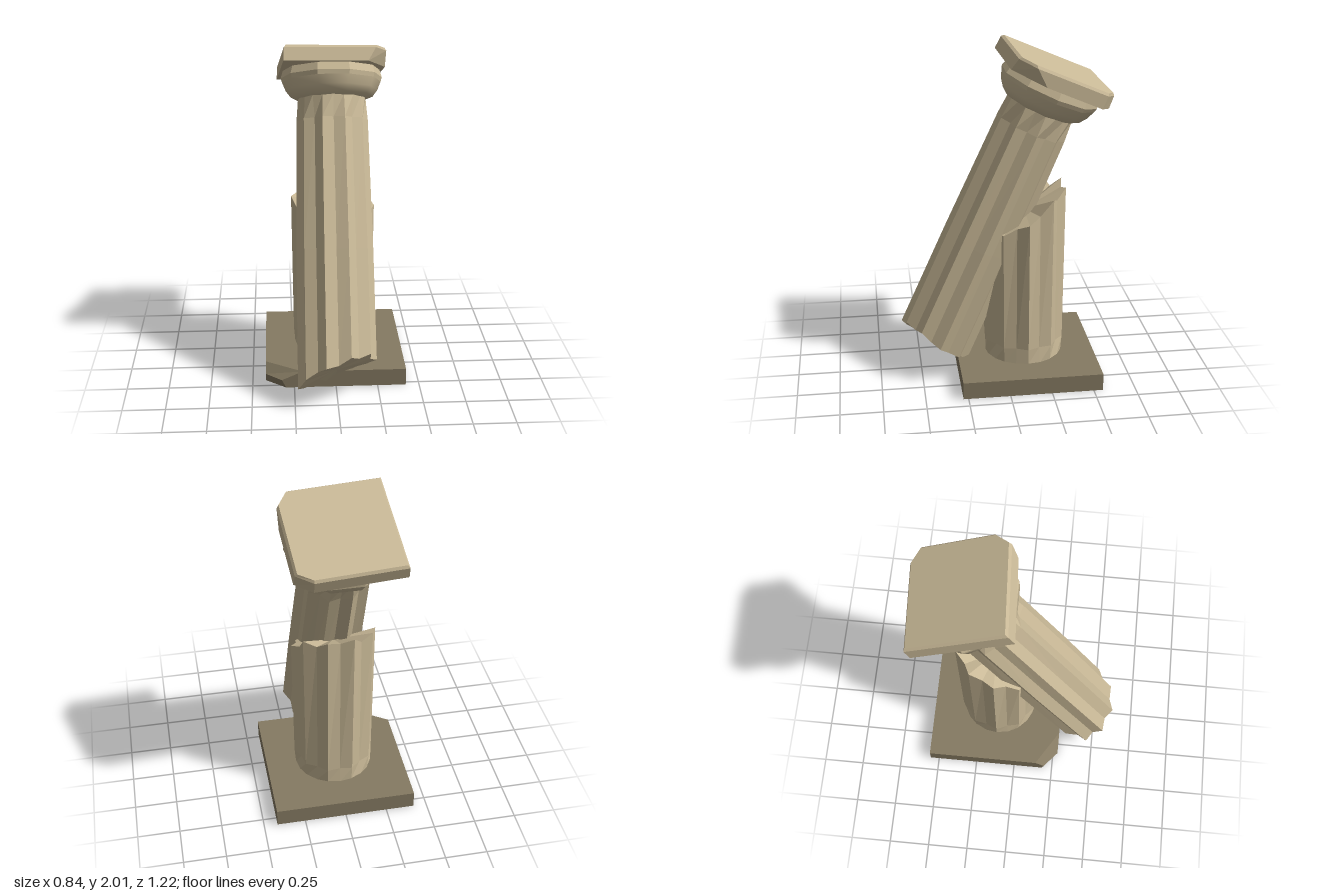
import * as THREE from 'three';

const stone = new THREE.MeshStandardMaterial({ color: 0xc9b997, side: THREE.DoubleSide });
stone.name = 'pale stone';
const darkStone = new THREE.MeshStandardMaterial({ color: 0x857a62, side: THREE.DoubleSide });
darkStone.name = 'dark stone';

// Faceted skin through rings of [x, y, z]; bottom and top are optional cap centres
function loft(name, rings, material, bottom, top) {
  const out = [];
  const tri = (a, b, c) => out.push(...a, ...b, ...c);
  const n = rings[0].length;
  for (let j = 0; j < n; j++) {
    const k = (j + 1) % n;
    for (let i = 0; i + 1 < rings.length; i++) {
      const lo = rings[i], hi = rings[i + 1];
      tri(lo[j], hi[j], lo[k]);
      tri(lo[k], hi[j], hi[k]);
    }
    const last = rings[rings.length - 1];
    if (bottom) tri(bottom, rings[0][j], rings[0][k]);
    if (top) tri(top, last[k], last[j]);
  }
  const geometry = new THREE.BufferGeometry();
  geometry.setAttribute('position', new THREE.Float32BufferAttribute(out, 3));
  geometry.computeVertexNormals();
  const mesh = new THREE.Mesh(geometry, material);
  mesh.name = name;
  return mesh;
}

// Ring of ten ridges and ten valleys; y is a number or a rule of (index, z)
function fluteRing(ridge, valley, y) {
  return Array.from({ length: 20 }, (_, i) => {
    const a = (i * Math.PI) / 10;
    const r = i % 2 ? valley : ridge;
    const z = r * Math.sin(a);
    return [r * Math.cos(a), typeof y === 'number' ? y : y(i, z), z];
  });
}

const flatRing = (points, y) => points.map(([x, z]) => [x, y, z]);

export function createModel() {
  const model = new THREE.Group();
  model.name = 'brokenColumn';

  // Hollow plinth with one chipped corner
  const plinthRing = (y, chipX, chipZ) =>
    flatRing([[0.42, 0.28], [chipX, 0.28], [-0.42, chipZ], [-0.42, -0.555], [0.42, -0.555]], y);
  model.add(loft('plinth', [
    plinthRing(0, -0.3, 0.185),
    plinthRing(0.05, -0.325, 0.197),
    plinthRing(0.105, -0.2, 0.14),
  ], darkStone, null, [0, 0.105, -0.1]));

  // Standing stump: round foot, flutes, sloping jagged break
  const stumpJag = [-0.03, -0.02, -0.015, 0.01, 0, -0.01, 0.01, -0.02, -0.01, 0.01,
    0.035, 0, 0.02, -0.03, 0, -0.02, -0.01, -0.03, 0.015, -0.03];
  const stump = loft('stump', [
    fluteRing(0.235, 0.235, 0.1),
    fluteRing(0.243, 0.222, 0.2),
    fluteRing(0.25, 0.22, (i, z) => 1.035 - 0.6 * z + stumpJag[i]),
  ], stone, null, [0, 1.02, 0]);
  stump.position.z = -0.132;
  model.add(stump);

  // Fallen upper part, leaning back against the stump
  const fallen = new THREE.Group();
  fallen.name = 'leaningColumn';
  fallen.position.set(0, 0.188, 0.416);
  fallen.rotation.x = THREE.MathUtils.degToRad(-23.75);
  model.add(fallen);

  const breakLine = [0.05, 0.06, 0.095, 0.07, 0.08, 0.035, 0.02, 0, -0.045, -0.06,
    -0.11, -0.11, -0.08, -0.06, -0.1, -0.05, -0.03, 0, 0.02, 0.03];
  fallen.add(loft('leaningShaft', [
    fluteRing(0.232, 0.2, (i) => breakLine[i]),
    fluteRing(0.226, 0.195, 0.7),
    fluteRing(0.211, 0.184, 1.46),
    fluteRing(0.2, 0.2, 1.59),
  ], stone, [0, 0, 0], [0, 1.59, 0]));

  // Capital: rounded bowl, rim band and square slab
  const bowlProfile = [[0.2, 1.585], [0.242, 1.6], [0.272, 1.64], [0.292, 1.69]]
    .map(([r, y]) => new THREE.Vector2(r, y));
  const bowl = new THREE.Mesh(new THREE.LatheGeometry(bowlProfile, 10, Math.PI / 2), stone);
  bowl.name = 'capitalBowl';
  fallen.add(bowl);

  const decagon = (r, y) => Array.from({ length: 10 }, (_, i) => {
    const a = (i * Math.PI) / 5;
    return [r * Math.cos(a), y, r * Math.sin(a)];
  });
  fallen.add(loft('capitalRim', [decagon(0.292, 1.69), decagon(0.3, 1.715), decagon(0.285, 1.765)], stone));

  // Slab ring of half width s; cx, cz place the front chip
  const slabRing = (s, y, cx, cz) =>
    flatRing([[s, cz], [cx, s], [-s, s], [-s, -s], [0.21, -s], [s, -0.235]], y);
  const slab = loft('capitalSlab', [
    slabRing(0.304, 1.76, 0.18, 0.11),
    slabRing(0.3, 1.838, 0.225, 0.2),
    slabRing(0.288, 1.853, 0.23, 0.21),
  ], stone, [0, 1.76, 0], [0, 1.853, 0]);
  slab.rotation.y = 0.066;
  fallen.add(slab);

  return model;
}
